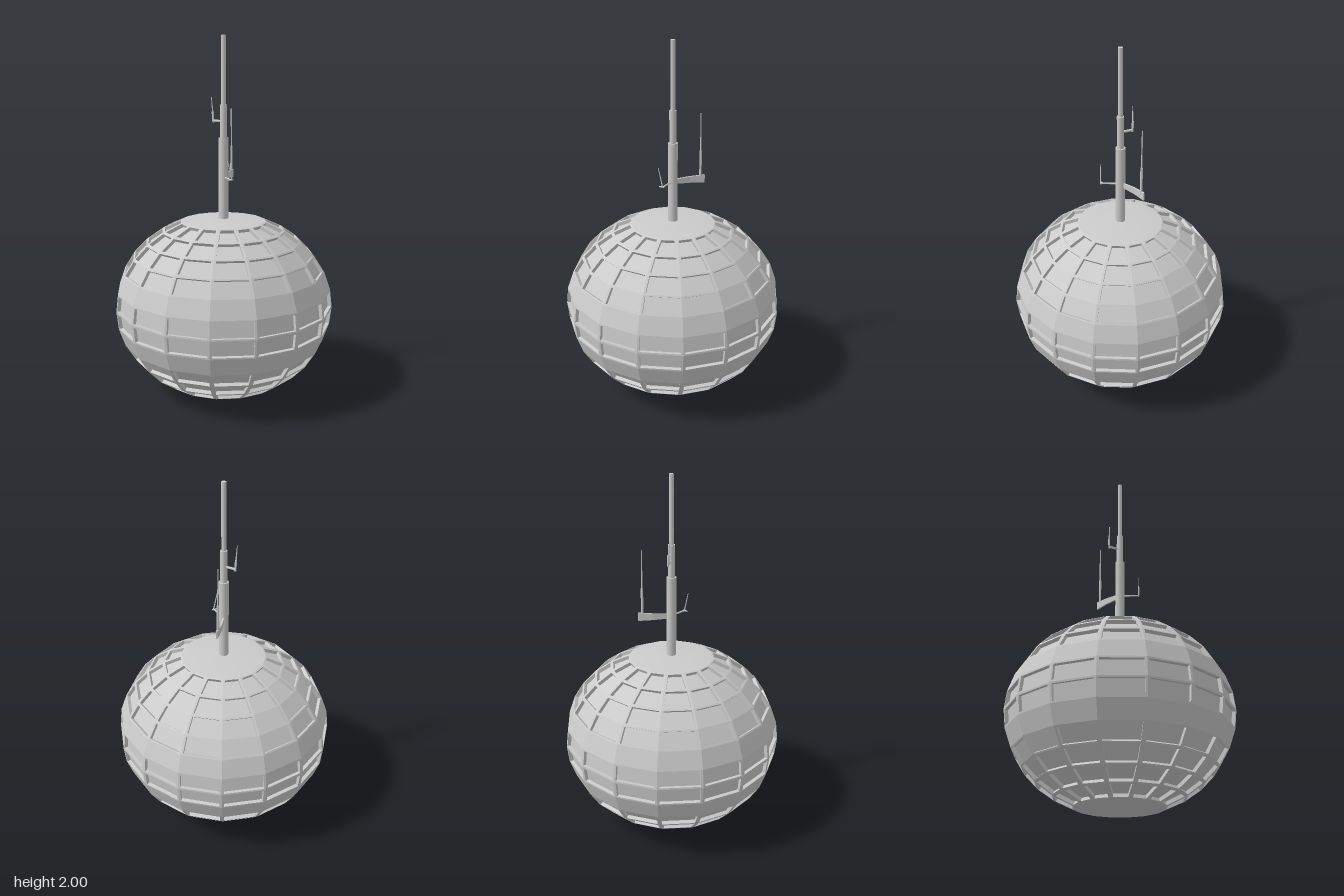
import * as THREE from 'three';

const SIDES = 16, STEP = Math.PI / 16;
const RADIUS = 0.617, HALF_HEIGHT = 0.525;
const SIDE_GAP = 0.012, ROW_GAP = 0.009, DEPTH = 0.02;
const V = (x, y, z) => new THREE.Vector3(x, y, z);

// Corner of the faceted globe at latitude ring k and meridian j
function corner(j, k) {
  const a = j * 2 * Math.PI / SIDES, r = RADIUS * Math.cos(k * STEP);
  return V(r * Math.sin(a), 0.5 + HALF_HEIGHT * Math.sin(k * STEP), r * Math.cos(a));
}

function pushQuad(out, a, b, c, d) {
  for (const p of [a, b, c, a, c, d]) out.push(p.x, p.y, p.z);
}

// One facet with a recessed window panel
function pushPanel(out, P) {
  const [A, B, C, D] = P;
  const u = B.clone().sub(A).normalize();
  const up = C.clone().add(D).sub(A).sub(B).multiplyScalar(0.5);
  const n = u.clone().cross(up).normalize();
  const t = ROW_GAP / up.length();
  const inner = [
    A.clone().lerp(D, t).addScaledVector(u, SIDE_GAP),
    B.clone().lerp(C, t).addScaledVector(u, -SIDE_GAP),
    C.clone().lerp(B, t).addScaledVector(u, -SIDE_GAP),
    D.clone().lerp(A, t).addScaledVector(u, SIDE_GAP),
  ];
  const floor = inner.map(p => p.clone().addScaledVector(n, -DEPTH));
  for (let i = 0; i < 4; i++) {
    const m = (i + 1) % 4;
    pushQuad(out, P[i], P[m], inner[m], inner[i]);
    pushQuad(out, inner[i], inner[m], floor[m], floor[i]);
  }
  pushQuad(out, ...floor);
}

function globeGeometry() {
  const out = [];
  for (let k = -6; k < 6; k++) {
    const plain = k === 1 || k === -2;
    for (let j = 0; j < SIDES; j++) {
      const P = [corner(j, k), corner(j + 1, k), corner(j + 1, k + 1), corner(j, k + 1)];
      if (plain) pushQuad(out, ...P);
      else pushPanel(out, P);
    }
  }
  const g = new THREE.BufferGeometry();
  g.setAttribute('position', new THREE.Float32BufferAttribute(out, 3));
  g.computeVertexNormals();
  return g;
}

export function createModel() {
  const model = new THREE.Group();
  const smooth = new THREE.MeshStandardMaterial({ color: 0xcccccc });
  const flat = new THREE.MeshStandardMaterial({ color: 0xcccccc, flatShading: true });

  const add = (parent, name, geometry, material = smooth) => {
    const mesh = new THREE.Mesh(geometry, material);
    mesh.name = name;
    parent.add(mesh);
    return mesh;
  };
  const group = name => {
    const g = new THREE.Group();
    g.name = name;
    model.add(g);
    return g;
  };
  // Round rod between two points
  const rod = (parent, name, a, b, r0, r1 = r0, sides = 8) => {
    const dir = b.clone().sub(a);
    const mesh = add(parent, name, new THREE.CylinderGeometry(r1, r0, dir.length(), sides));
    mesh.position.copy(a).add(b).multiplyScalar(0.5);
    mesh.quaternion.setFromUnitVectors(V(0, 1, 0), dir.normalize());
    return mesh;
  };

  // Globe with window panels and flattened caps
  add(model, 'globe', globeGeometry(), flat);
  const rim = corner(0, 6);
  const cap = [[rim.z, rim.y], [0.12, 0.997], [0, 1]];
  add(model, 'topCap', new THREE.LatheGeometry(
    cap.map(([r, y]) => new THREE.Vector2(r, y)), SIDES));
  add(model, 'bottomCap', new THREE.LatheGeometry(
    cap.map(([r, y]) => new THREE.Vector2(r, 1 - y)).reverse(), SIDES));

  // Mast in three narrowing stages
  const mast = group('mast');
  rod(mast, 'mastLower', V(0, 0.98, 0), V(0, 1.45, 0), 0.027, 0.027, 16);
  rod(mast, 'mastMiddle', V(0, 1.44, 0), V(0, 1.63, 0), 0.019, 0.019, 16);
  rod(mast, 'mastUpper', V(0, 1.62, 0), V(0, 2, 0), 0.013, 0.013, 16);

  // Rear antenna: bent upright bracket carrying a tall whip
  const rear = group('rearAntenna');
  const bend = [[0.002, -0.02, 0.014], [0.012, -0.1, 0.018], [0.034, -0.18, 0.023]];
  const bracket = [];
  const section = ([x, z, h]) => [
    V(x - 0.005, 1.228 - h, z), V(x + 0.005, 1.228 - h, z),
    V(x + 0.005, 1.228 + h, z), V(x - 0.005, 1.228 + h, z)];
  const rings = bend.map(section);
  for (let s = 0; s < 2; s++)
    for (let i = 0; i < 4; i++) {
      const m = (i + 1) % 4;
      pushQuad(bracket, rings[s][i], rings[s][m], rings[s + 1][m], rings[s + 1][i]);
    }
  const end = rings[2];
  pushQuad(bracket, end[3], end[2], end[1], end[0]);
  const bracketGeometry = new THREE.BufferGeometry();
  bracketGeometry.setAttribute('position', new THREE.Float32BufferAttribute(bracket, 3));
  bracketGeometry.computeVertexNormals();
  add(rear, 'rearBracket', bracketGeometry,
    new THREE.MeshStandardMaterial({ color: 0xcccccc, flatShading: true, side: THREE.DoubleSide }));
  rod(rear, 'rearWhipBase', V(0.028, 1.235, -0.158), V(0.028, 1.39, -0.158), 0.007);
  rod(rear, 'rearWhip', V(0.028, 1.38, -0.158), V(0.026, 1.6, -0.158), 0.004, 0.003);

  // Front antenna: thin arm, crosspiece and leaning whip
  const front = group('frontAntenna');
  rod(front, 'frontArm', V(0, 1.23, 0), V(0.055, 1.23, 0.09), 0.005);
  rod(front, 'frontCrosspiece', V(0.04, 1.23, 0.102), V(0.064, 1.23, 0.086), 0.004);
  rod(front, 'frontWhip', V(0.058, 1.23, 0.092), V(0.036, 1.335, 0.106), 0.004, 0.002);

  // Upper antenna: short arm with a small whip
  const upper = group('upperAntenna');
  rod(upper, 'upperArm', V(0, 1.54, 0), V(-0.062, 1.54, -0.036), 0.007);
  rod(upper, 'upperWhipBase', V(-0.06, 1.53, -0.035), V(-0.064, 1.59, -0.035), 0.006);
  rod(upper, 'upperWhip', V(-0.063, 1.58, -0.035), V(-0.07, 1.67, -0.028), 0.004, 0.002);

  return model;
}
